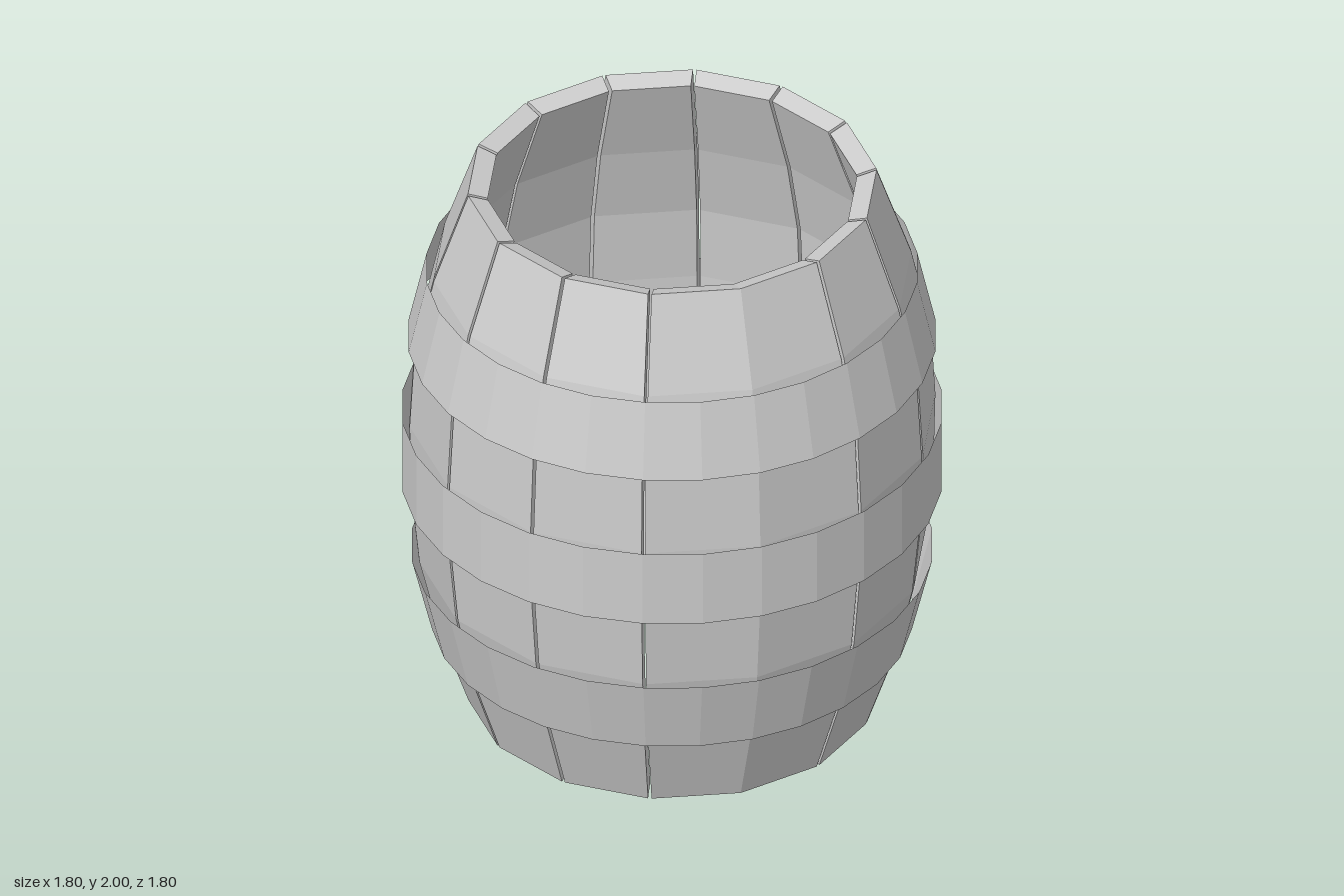
import * as THREE from 'three';

const STAVES = 14, HALF = Math.PI / STAVES, THICK = 0.068, GAP = 0.006;

// Outer stave profile: [corner radius, height]
const PROFILE = [
  [0.682, 0], [0.778, 0.28], [0.845, 0.56], [0.872, 0.83],
  [0.878, 1.1], [0.862, 1.38], [0.797, 1.67], [0.682, 2],
];

// Bent plank facing +z, with its own gap on the -x and +x sides
function staveGeometry(gapLeft, gapRight) {
  const n = PROFILE.length;
  const outer = PROFILE.map(([r, y]) => new THREE.Vector2(r * Math.cos(HALF), y));
  const inner = outer.map((p, i) => {
    const t = outer[Math.min(i + 1, n - 1)].clone().sub(outer[Math.max(i - 1, 0)]).normalize();
    return new THREE.Vector2(p.x - t.y * THICK, p.y + t.x * THICK);
  });
  const loop = [...outer, ...inner.reverse()];
  const pos = [], index = [], m = loop.length;
  for (const p of loop) {
    const w = p.x * Math.tan(HALF);
    pos.push(-w + gapLeft, p.y, p.x, w - gapRight, p.y, p.x);
  }
  // Outer, inner and end faces
  for (let i = 0; i < m; i++) {
    const a = 2 * i, b = 2 * ((i + 1) % m);
    index.push(a, a + 1, b + 1, a, b + 1, b);
  }
  // Side faces
  for (let i = 0; i < n - 1; i++) {
    const o = 2 * i, o2 = o + 2, q = 2 * (m - 1 - i), q2 = q - 2;
    index.push(o, o2, q2, o, q2, q);
    index.push(o + 1, q + 1, q2 + 1, o + 1, q2 + 1, o2 + 1);
  }
  return flat(new THREE.BufferGeometry()
    .setAttribute('position', new THREE.Float32BufferAttribute(pos, 3))
    .setIndex(index));
}

// One normal per face
function flat(geometry) {
  const g = geometry.toNonIndexed();
  g.computeVertexNormals();
  return g;
}

export function createModel() {
  const grey = new THREE.MeshStandardMaterial({ color: 0xcccccc, side: THREE.DoubleSide });
  grey.name = 'grey';
  const barrel = new THREE.Group();
  barrel.name = 'barrel';

  // Ring of staves; the first and last are joined without a gap
  const staves = new THREE.Group();
  staves.name = 'staves';
  staves.position.set(-0.004, 0, 0.008);
  for (let i = 0; i < STAVES; i++) {
    const g = staveGeometry(i === 0 ? 0 : GAP, i === STAVES - 1 ? 0 : GAP);
    const stave = new THREE.Mesh(g, grey);
    stave.name = 'stave';
    stave.rotation.y = i * 2 * HALF;
    staves.add(stave);
  }
  barrel.add(staves);

  // Thin hoops: [name, top radius, bottom radius, top y, bottom y]
  const hoops = [
    ['upperHoop', 0.817, 0.878, 1.655, 1.385],
    ['middleHoop', 0.898, 0.898, 1.105, 0.83],
    ['lowerHoop', 0.867, 0.8, 0.555, 0.28],
  ];
  for (const [name, rTop, rBottom, top, bottom] of hoops) {
    const g = new THREE.CylinderGeometry(rTop, rBottom, top - bottom, 28, 1, true);
    const hoop = new THREE.Mesh(flat(g), grey);
    hoop.name = name;
    hoop.position.y = (top + bottom) / 2;
    barrel.add(hoop);
  }
  return barrel;
}
